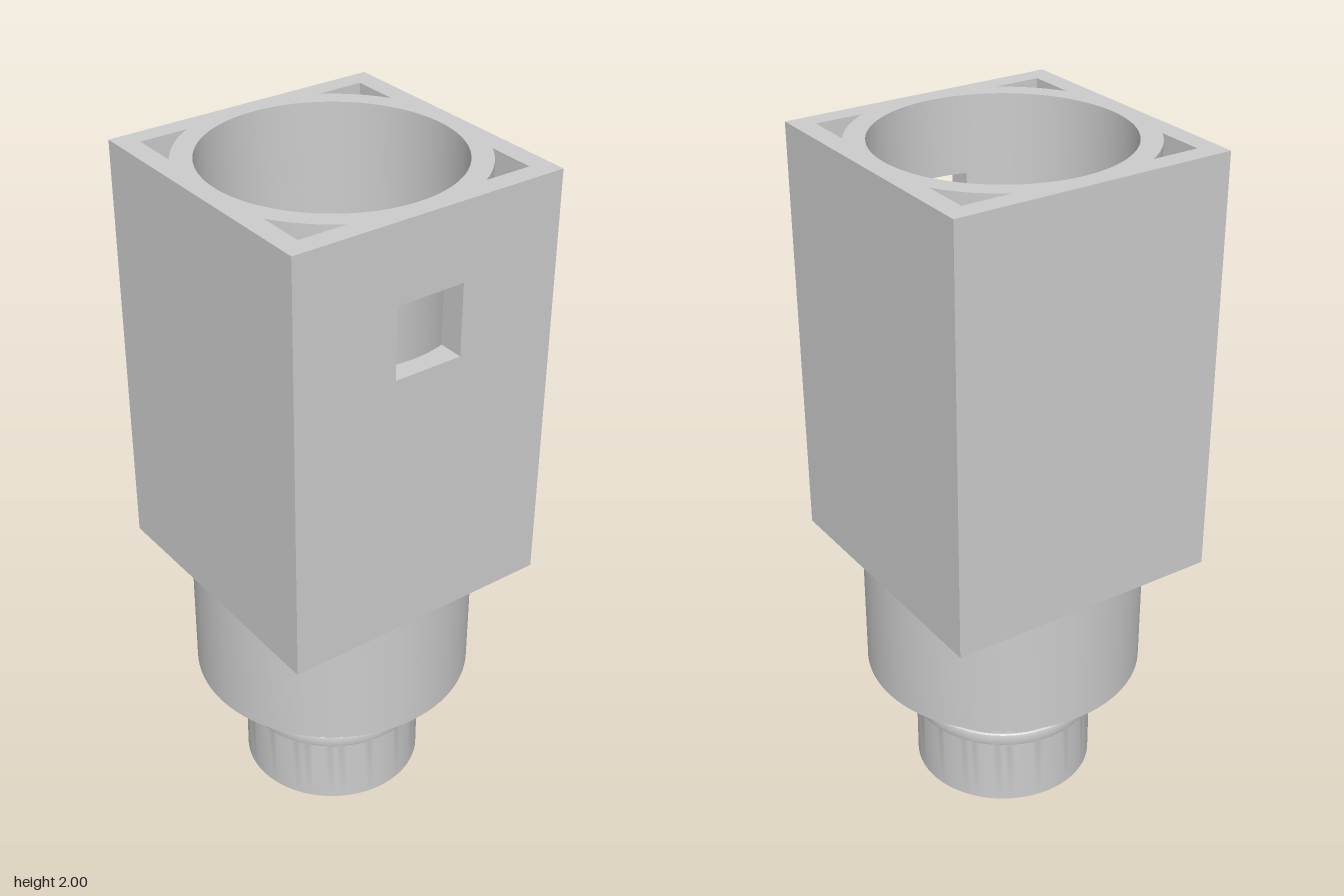
import * as THREE from 'three';
import { mergeGeometries, toCreasedNormals } from 'three/addons/utils/BufferGeometryUtils.js';

const H = 0.414;            // half width of the square housing
const P = 0.354;            // bore radius, and inner face of the square wall
const R = 0.413;            // outer radius of the round socket
const BORE = 0.208, NECK = 0.268;
const BOTTOM = 0.76, TOP = 2;
const WIN = 0.104, WIN_LOW = 1.565, WIN_HIGH = 1.775;
const SEG = 48;
const A = Math.acos(P / R); // angle where the socket circle meets the wall line

const material = new THREE.MeshStandardMaterial({ color: 0xcccccc });

function addMesh(parent, name, geometry) {
  const mesh = new THREE.Mesh(toCreasedNormals(geometry, 0.5), material);
  mesh.name = name;
  parent.add(mesh);
  return mesh;
}

// Triangular corner channels between the round tube and the square wall
function addCorners(shape) {
  for (let i = 0; i < 4; i++) {
    const q = i * Math.PI / 2;
    const c = Math.round(Math.cos(q)), s = Math.round(Math.sin(q));
    const hole = new THREE.Path();
    hole.absarc(0, 0, R, q + A, q + Math.PI / 2 - A, false);
    hole.lineTo(P * (c - s), P * (s + c));
    hole.closePath();
    shape.holes.push(hole);
  }
  return shape;
}

// Square section with a round bore
function fullSection() {
  const shape = new THREE.Shape().moveTo(H, -H).lineTo(H, H).lineTo(-H, H).lineTo(-H, -H);
  shape.closePath();
  shape.holes.push(new THREE.Path().absarc(0, 0, P, 0, Math.PI * 2, false));
  return addCorners(shape);
}

// The same section cut open on the +x side by the window
function windowSection() {
  const w = Math.asin(WIN / P);
  const shape = new THREE.Shape().moveTo(H, WIN).lineTo(H, H).lineTo(-H, H)
    .lineTo(-H, -H).lineTo(H, -H).lineTo(H, -WIN);
  shape.absarc(0, 0, P, -w, w, true);
  shape.closePath();
  return addCorners(shape);
}

// Walls of an extruded section without its end caps
function walls(shape, y0, y1) {
  const full = new THREE.ExtrudeGeometry(shape, { depth: y1 - y0, bevelEnabled: false, curveSegments: SEG });
  const { start, count } = full.groups.find((g) => g.materialIndex === 1);
  const geometry = new THREE.BufferGeometry();
  for (const key of ['position', 'normal', 'uv']) {
    const attr = full.attributes[key], n = attr.itemSize;
    geometry.setAttribute(key, new THREE.BufferAttribute(attr.array.slice(start * n, (start + count) * n), n));
  }
  return geometry.rotateX(-Math.PI / 2).translate(0, y0, 0);
}

// Flat face of a section, facing up or down
function face(shape, y, up) {
  return new THREE.ShapeGeometry(shape, SEG).toNonIndexed()
    .rotateX(up ? -Math.PI / 2 : Math.PI / 2).translate(0, y, 0);
}

export function createModel() {
  const model = new THREE.Group();
  model.name = 'squareHousing';

  // Square housing in three levels, the middle one opened by the window
  const housing = new THREE.Group();
  housing.name = 'housing';
  model.add(housing);
  addMesh(housing, 'housingWalls', mergeGeometries([
    walls(fullSection(), BOTTOM, WIN_LOW),
    walls(windowSection(), WIN_LOW, WIN_HIGH),
    walls(fullSection(), WIN_HIGH, TOP),
  ]));
  addMesh(housing, 'topRim', face(fullSection(), TOP, true));

  // Sill and lintel of the window
  const w = Math.asin(WIN / P);
  const sill = new THREE.Shape().moveTo(H, -WIN).lineTo(H, WIN);
  sill.absarc(0, 0, P, w, -w, true);
  sill.closePath();
  addMesh(housing, 'windowSill', face(sill, WIN_LOW, true));
  addMesh(housing, 'windowLintel', face(sill, WIN_HIGH, false));

  // Underside of the wall, one piece per corner around the socket
  const under = new THREE.Shape().moveTo(H, 0).lineTo(H, H).lineTo(0, H);
  under.absarc(0, 0, R, Math.PI / 2, Math.PI / 2 - A, true);
  under.lineTo(P, P);
  under.absarc(0, 0, R, A, 0, true);
  under.closePath();
  for (let i = 0; i < 4; i++) {
    addMesh(housing, 'cornerUnderside', face(under, BOTTOM, false)).rotation.y = i * Math.PI / 2;
  }

  // Round socket and neck with a raised bead, hollow throughout
  const profile = [
    [BORE, 0], [NECK, 0], [NECK, 0.212], [0.271, 0.212], [0.275, 0.215], [0.277, 0.221],
    [0.277, 0.244], [0.275, 0.25], [0.271, 0.253], [NECK, 0.253],
    [NECK, 0.38], [R, 0.38], [R, BOTTOM],
  ];
  const interior = [[P, BOTTOM], [P, 0.44], [BORE, 0.44], [BORE, 0]];
  const lathe = (pts) => new THREE.LatheGeometry(pts.map(([r, y]) => new THREE.Vector2(r, y)), SEG * 2);
  addMesh(model, 'socketAndNeck', lathe(profile));
  addMesh(model, 'socketBore', lathe(interior));

  return model;
}
